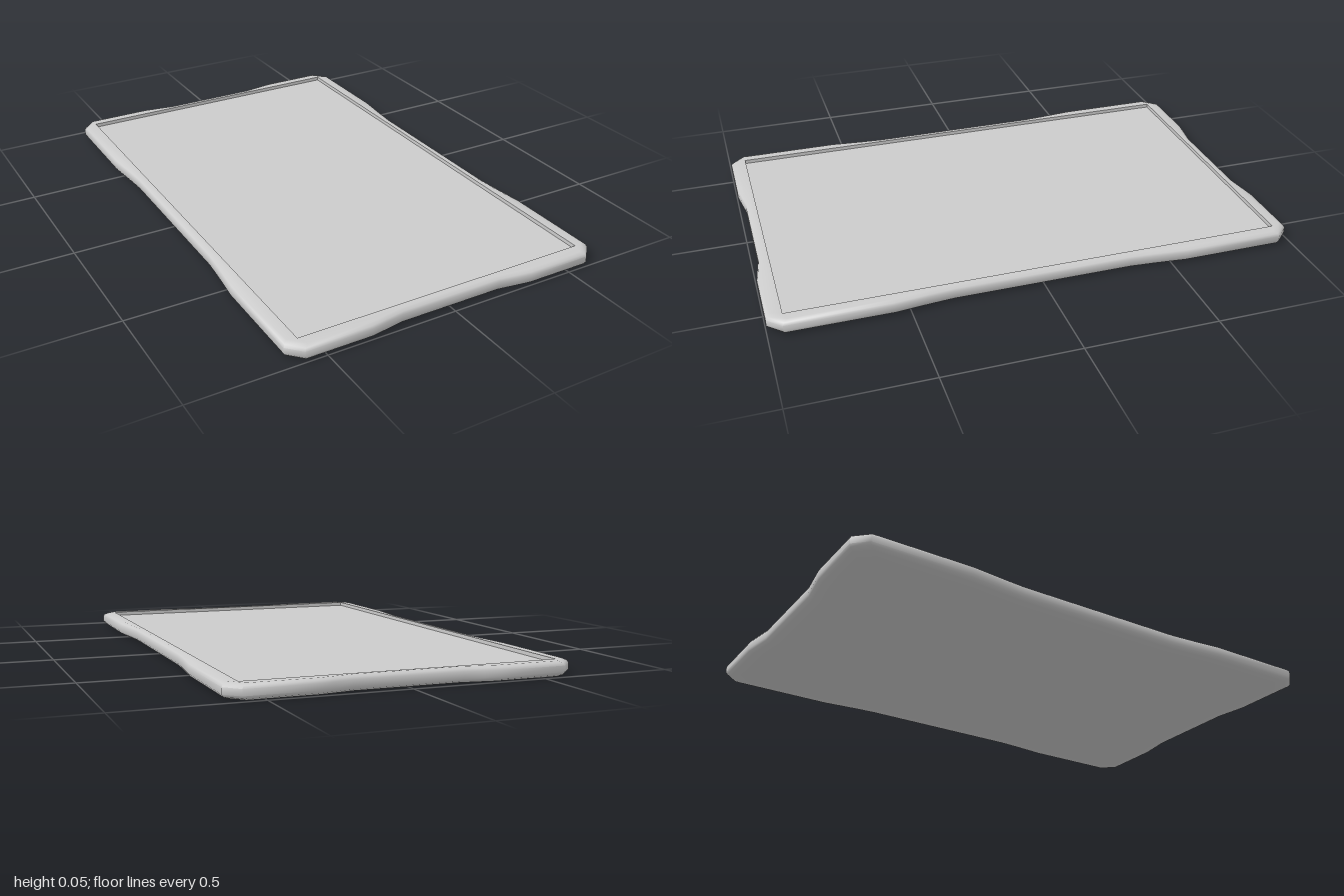
import * as THREE from 'three';
import { mergeGeometries, toCreasedNormals } from 'three/addons/utils/BufferGeometryUtils.js';

const TOP = 0.055, FLOOR = 0.04;

// Quarter outline [x, z]: waisted long side, cut corner, waisted short side
const QUARTER = [[0.61, 0.34], [0.617, 0.43], [0.63, 0.56], [0.63, 0.945],
  [0.58, 0.997], [0.33, 0.997], [0.27, 0.988], [0.2, 0.977]];

// Edge section from underside to top: [inset, height]
const SECTION = [[0.06, 0], [0.02, 0], [0.005, 0.008], [0, 0.017],
  [0, 0.04], [0.005, 0.049], [0.019, TOP]];

// Full counter-clockwise outline (plan y = -z), drawn in by the inset
function outline(inset) {
  const points = [];
  [[1, 1], [-1, 1], [-1, -1], [1, -1]].forEach(([sx, sy]) => {
    const q = QUARTER.map(([x, z]) => new THREE.Vector2(
      sx * x * (1 - inset / 0.63), sy * z * (1 - inset)));
    points.push(...(sx * sy > 0 ? q : q.reverse()));
  });
  return points;
}

// Skin between closed rings of equal length, each {points, y}
function loft(rings) {
  const pos = [], index = [], n = rings[0].points.length;
  rings.forEach(({ points, y }) => points.forEach(p => pos.push(p.x, y, -p.y)));
  for (let r = 0; r < rings.length - 1; r++) {
    for (let i = 0; i < n; i++) {
      const a = r * n + i, b = r * n + (i + 1) % n;
      index.push(a, b, b + n, a, b + n, a + n);
    }
  }
  const g = new THREE.BufferGeometry();
  g.setAttribute('position', new THREE.Float32BufferAttribute(pos, 3));
  g.setIndex(index);
  return g.toNonIndexed();
}

// Flat face at a height, facing up or down
function cap(points, y, hole, down = false) {
  const shape = new THREE.Shape(points);
  if (hole) shape.holes.push(new THREE.Path(hole));
  const flat = new THREE.ShapeGeometry(shape);
  if (down) {
    const ix = flat.index.array;
    for (let i = 0; i < ix.length; i += 3) [ix[i], ix[i + 1]] = [ix[i + 1], ix[i]];
  }
  const g = flat.rotateX(-Math.PI / 2).translate(0, y, 0).toNonIndexed();
  g.deleteAttribute('uv');
  g.deleteAttribute('normal');
  return g;
}

export function createModel() {
  const group = new THREE.Group();
  group.name = 'tabletCase';
  const material = new THREE.MeshStandardMaterial({ color: 0xcccccc });
  const add = (name, geometry) => {
    const mesh = new THREE.Mesh(geometry, material);
    mesh.name = name;
    group.add(mesh);
  };

  // Recess rectangle, counter-clockwise
  const recess = [[-0.577, -0.938], [0.577, -0.938], [0.577, 0.943], [-0.577, 0.943]]
    .map(([x, y]) => new THREE.Vector2(x, y));

  // Rounded case with underside, raised rim and recess walls
  const body = mergeGeometries([
    cap(outline(SECTION[0][0]), 0, null, true),
    loft(SECTION.map(([inset, y]) => ({ points: outline(inset), y }))),
    cap(outline(SECTION.at(-1)[0]), TOP, recess),
    loft([{ points: recess, y: TOP }, { points: recess, y: FLOOR }].map(r =>
      ({ points: [...r.points].reverse(), y: r.y })).reverse()),
  ]);
  add('case', toCreasedNormals(body, 0.9));

  // Flat panel in the recess
  const panel = cap(recess, FLOOR);
  panel.computeVertexNormals();
  add('screen', panel);
  return group;
}
